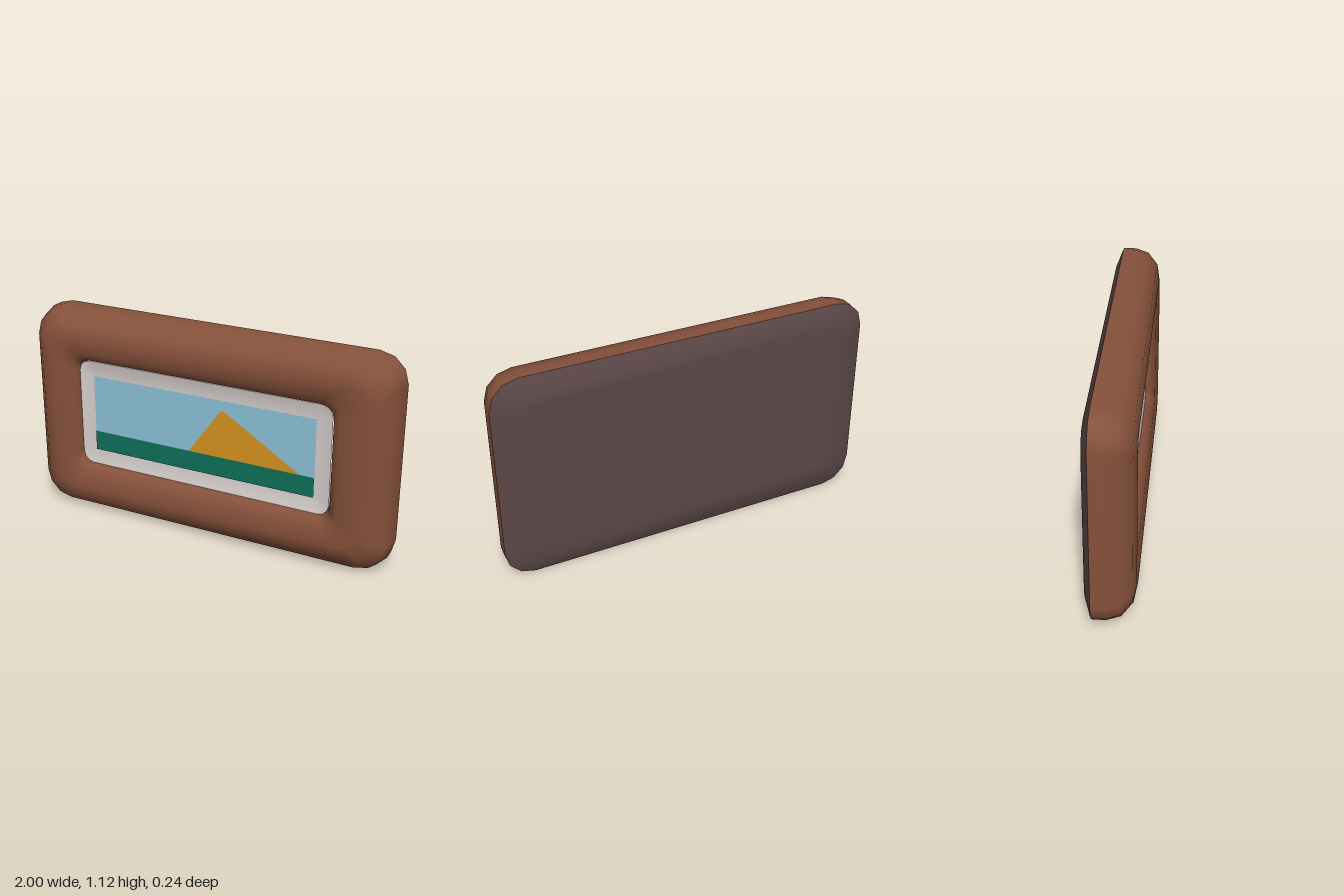
import * as THREE from 'three';

const CORNER_STEPS = 3;

// Rounded rectangle of points at depth z, counter-clockwise from the front
function ring(l, r, b, t, rad, z) {
  const pts = [];
  const corners = [[r - rad, t - rad], [l + rad, t - rad], [l + rad, b + rad], [r - rad, b + rad]];
  corners.forEach(([cx, cy], k) => {
    for (let i = 0; i <= CORNER_STEPS; i++) {
      const a = (k + i / CORNER_STEPS) * Math.PI / 2;
      pts.push([cx + rad * Math.cos(a), cy + rad * Math.sin(a), z]);
    }
  });
  return pts;
}

// Outer outline moved inward by an inset
const outer = (inset, rad, z) => ring(-1 + inset, 1 - inset, inset, 1.125 - inset, rad, z);
// Window opening grown outward by g
const opening = (g, rad, z) => ring(-0.73 - g, 0.69 + g, 0.272 - g, 0.86 + g, rad, z);

// Smooth skin through a list of rings
function loft(rings) {
  const n = rings[0].length, index = [];
  for (let j = 0; j < rings.length - 1; j++) {
    for (let i = 0; i < n; i++) {
      const k = (i + 1) % n;
      const a = j * n + i, b = j * n + k, c = (j + 1) * n + k, d = (j + 1) * n + i;
      index.push(a, b, c, a, c, d);
    }
  }
  const geo = new THREE.BufferGeometry();
  geo.setAttribute('position', new THREE.Float32BufferAttribute(rings.flat(2), 3));
  geo.setIndex(index);
  geo.computeVertexNormals();
  return geo;
}

// Flat painted plate from 2D points
function plate(points, z) {
  const shape = new THREE.Shape(points.map(([x, y]) => new THREE.Vector2(x, y)));
  return new THREE.ShapeGeometry(shape).translate(0, 0, z);
}
const rect = (l, r, b, t) => [[l, b], [r, b], [r, t], [l, t]];

export function createModel() {
  const group = new THREE.Group();
  group.name = 'framedPicture';

  const material = (name, color) => {
    const m = new THREE.MeshStandardMaterial({ color });
    m.name = name;
    return m;
  };
  const add = (name, geo, mat) => {
    const mesh = new THREE.Mesh(geo, mat);
    mesh.name = name;
    group.add(mesh);
  };

  const wood = material('brownWood', 0x86513b);
  const backing = material('darkBacking', 0x5c4747);
  const card = material('paleCard', 0xd6cfcc);
  const blue = material('skyBlue', 0x8cc1d8);
  const green = material('grassGreen', 0x0e7059);
  const gold = material('sandGold', 0xd69420);

  // Padded frame: side, rounded front, then down into the opening
  add('frame', loft([
    outer(0, 0.15, -0.085),
    outer(0, 0.15, -0.02),
    outer(0.017, 0.145, 0.05),
    outer(0.07, 0.13, 0.105),
    outer(0.14, 0.1, 0.12),
    opening(0.055, 0.08, 0.108),
    opening(0.012, 0.065, 0.08),
    opening(0, 0.06, 0.045),
    opening(0, 0.06, 0),
  ]), wood);

  // Backing board with a bevelled rim
  add('backPanel', loft([
    ring(-0.4, 0.4, 0.5625, 0.5625, 0, -0.12),
    outer(0.16, 0.08, -0.12),
    outer(0.083, 0.11, -0.12),
    outer(0, 0.15, -0.085),
  ]), backing);

  // Slightly dished mat around the picture
  add('mat', loft([
    opening(0, 0.06, 0.056),
    opening(-0.04, 0.035, 0.047),
    opening(-0.09, 0.01, 0.043),
    ring(-0.3, 0.26, 0.566, 0.566, 0, 0.043),
  ]), card);

  // Landscape picture
  add('sky', plate(rect(-0.65, 0.605, 0.355, 0.775), 0.048), blue);
  add('mountain', plate([[-0.09, 0.46], [0.53, 0.46], [0.125, 0.712], [0.108, 0.72], [0.093, 0.716], [0.08, 0.702]], 0.05), gold);
  add('meadow', plate(rect(-0.65, 0.605, 0.355, 0.463), 0.052), green);

  return group;
}
